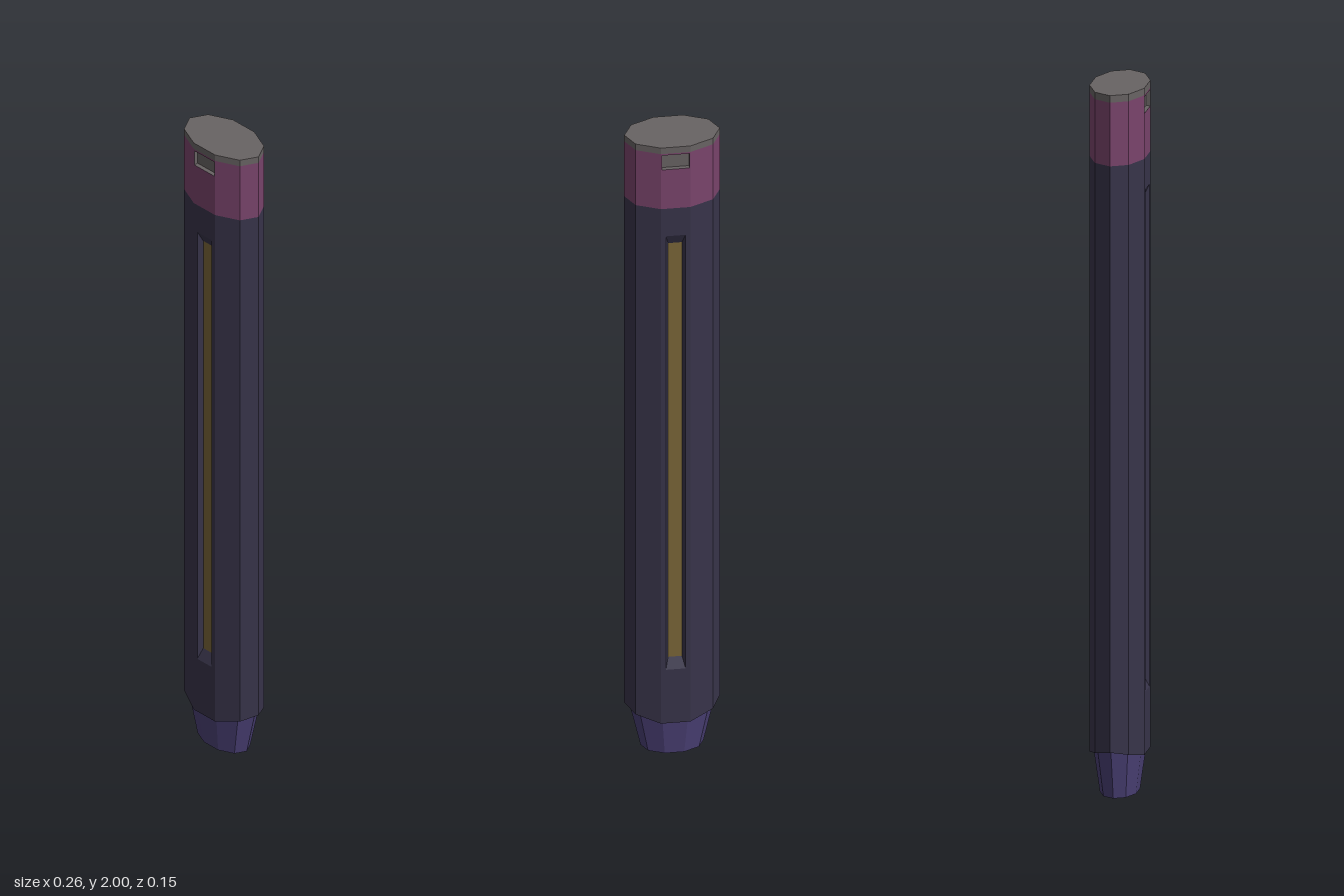
import * as THREE from 'three';

const SIDES = 10, RX = 0.131, RZ = 0.08;
const FRONT = 2, BACK = 7; // flat sides that carry the recesses

// Corner i of the flattened ten-sided outline
function corner(i, y, s = 1) {
  const a = (i % SIDES) * Math.PI * 2 / SIDES;
  return [RX * s * Math.cos(a), y, RZ * s * Math.sin(a)];
}

// Flat-shaded mesh from quads, corners counter-clockwise from outside
function quadMesh(name, color, quads) {
  const pos = [];
  for (const [a, b, c, d] of quads) pos.push(...a, ...b, ...c, ...a, ...c, ...d);
  const g = new THREE.BufferGeometry();
  g.setAttribute('position', new THREE.Float32BufferAttribute(pos, 3));
  g.computeVertexNormals();
  const mesh = new THREE.Mesh(g, new THREE.MeshStandardMaterial({
    color, flatShading: true, side: THREE.DoubleSide }));
  mesh.name = name;
  return mesh;
}

// Side faces between two rings; y may vary with the corner
function sides(yLow, yHigh, sLow = 1, sHigh = 1, skip = []) {
  const quads = [];
  for (let i = 0; i < SIDES; i++) {
    if (skip.includes(i)) continue;
    quads.push([corner(i + 1, yLow(i + 1), sLow), corner(i, yLow(i), sLow),
      corner(i, yHigh, sHigh), corner(i + 1, yHigh, sHigh)]);
  }
  return quads;
}

// Flat end face as a fan of quads
function endFace(y, s, up) {
  const quads = [];
  for (let i = 0; i < SIDES; i += 2) {
    const q = [[0, y, 0], corner(i + 2, y, s), corner(i + 1, y, s), corner(i, y, s)];
    quads.push(up ? q : q.reverse());
  }
  return quads;
}

const rect = (w, y0, y1, z) => [[-w, y0, z], [w, y0, z], [w, y1, z], [-w, y1, z]];

// Four quads joining an outer rectangle to an inner one
const frame = (o, n) => [0, 1, 2, 3].map(i => [o[i], o[(i + 1) % 4], n[(i + 1) % 4], n[i]]);

const same = y => () => y;
const turned = q => q.map(f => f.map(([x, y, z]) => [-x, y, -z]));
const both = q => [...q, ...turned(q)];

export function createModel() {
  const model = new THREE.Group();
  model.name = 'pocketDevice';
  const [faceX, , faceZ] = corner(FRONT, 0);
  const body = 0x38344a, collar = 0x7a446c, grey = 0x686363;

  // Body with a scalloped lower rim and a long groove front and back
  const rim = i => {
    const s = Math.abs(Math.sin((i % SIDES) * Math.PI * 2 / SIDES));
    return s < 0.1 ? 0.142 : s < 0.7 ? 0.132 : 0.115;
  };
  const mouth = rect(0.027, 0.29, 1.71, faceZ);
  const floor = rect(0.019, 0.322, 1.677, faceZ - 0.015);
  const lip = [];
  for (let i = 0; i < SIDES; i++) {
    lip.push([corner(i, rim(i)), corner(i + 1, rim(i + 1)),
      corner(i + 1, rim(i + 1), 0.86), corner(i, rim(i), 0.86)].reverse());
  }
  model.add(quadMesh('body', body, [
    ...sides(rim, 1.8, 1, 1, [FRONT, BACK]), ...lip,
    ...both(frame(rect(faceX, 0.115, 1.8, faceZ), mouth))]));
  model.add(quadMesh('grooveWalls', body, both(frame(mouth, floor))));
  model.add(quadMesh('grooveStrips', 0x7a6638, both([floor])));

  // Tapered tip
  model.add(quadMesh('tip', 0x4b4176, [
    ...sides(same(0), 0.16, 0.66, 0.93), ...endFace(0, 0.66, false)]));

  // Collar with a small notch front and back
  const notch = rect(0.038, 1.928, 1.975, faceZ);
  const notchFloor = rect(0.038, 1.928, 1.975, faceZ - 0.012);
  model.add(quadMesh('collar', collar, [
    ...sides(same(1.8), 1.98, 1, 1, [FRONT, BACK]),
    ...both(frame(rect(faceX, 1.8, 1.98, faceZ), notch))]));
  model.add(quadMesh('notches', grey, both([...frame(notch, notchFloor), notchFloor])));

  // Top cap
  model.add(quadMesh('cap', grey, [...sides(same(1.98), 2), ...endFace(2, 1, true)]));
  return model;
}
